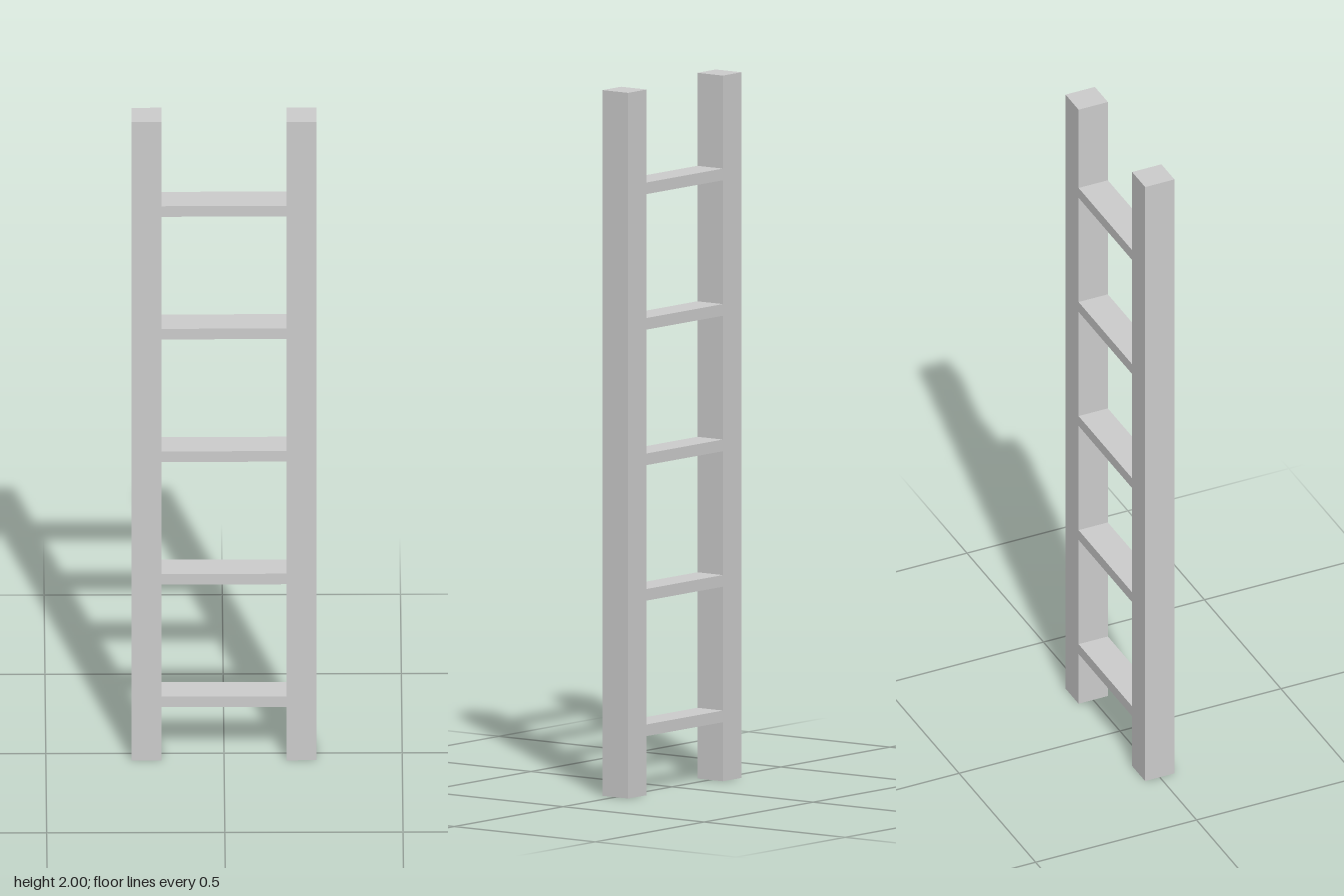
import * as THREE from 'three';

export function createModel() {
  const ladder = new THREE.Group();
  ladder.name = 'ladder';
  const material = new THREE.MeshStandardMaterial({ color: 0xcccccc, flatShading: true });

  const railWidth = 0.085, depth = 0.091, height = 2;
  const innerHalf = 0.175; // half the gap between the rails

  const addBox = (name, w, h, x, y) => {
    const mesh = new THREE.Mesh(new THREE.BoxGeometry(w, h, depth), material);
    mesh.name = name;
    mesh.position.set(x, y, 0);
    ladder.add(mesh);
  };

  // Upright rails
  for (const side of [1, -1]) {
    addBox(side > 0 ? 'leftRail' : 'rightRail', railWidth, height,
      side * (innerHalf + railWidth / 2), height / 2);
  }

  // Flat rungs, flush with the rails front and back
  for (let i = 0; i < 5; i++) {
    addBox(`rung${i + 1}`, innerHalf * 2, 0.033, 0, 0.184 + i * 0.384);
  }

  return ladder;
}
